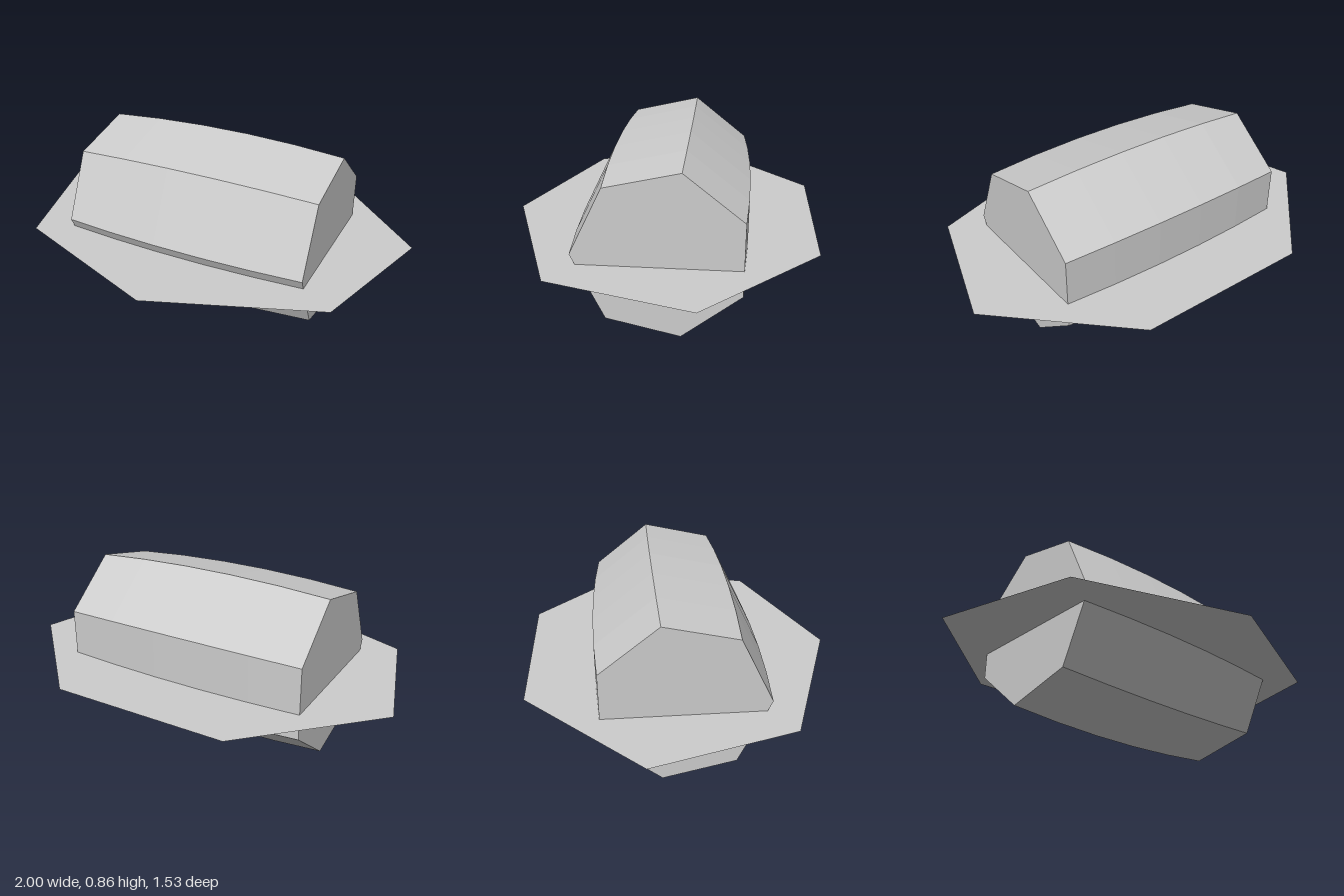
import * as THREE from 'three';

export function createModel() {
  const model = new THREE.Group();
  const grey = new THREE.MeshStandardMaterial({ color: 0xcccccc, flatShading: true, side: THREE.DoubleSide });
  grey.name = 'light grey';

  // Seven-sided barrel lying along x, bulging slightly towards its middle
  const length = 1.27;
  const barrelGeometry = new THREE.CylinderGeometry(1, 1, length, 7, 5);
  const p = barrelGeometry.attributes.position;
  for (let i = 0; i < p.count; i++) {
    const t = p.getY(i) / (length / 2);
    const radius = 0.442 - 0.028 * t * t;
    p.setXYZ(i, p.getX(i) * radius, p.getY(i), p.getZ(i) * radius);
  }
  barrelGeometry.rotateZ(-Math.PI / 2);
  const barrel = new THREE.Mesh(barrelGeometry, grey);
  barrel.name = 'barrel';
  barrel.position.set(0, 0.43, -0.04);
  model.add(barrel);

  // Flat seven-sided sheet cutting through the barrel
  const sheetGeometry = new THREE.CircleGeometry(1, 7, -Math.PI / 2);
  sheetGeometry.rotateX(-Math.PI / 2);
  sheetGeometry.scale(1.026, 1, 0.805);
  const sheet = new THREE.Mesh(sheetGeometry, grey);
  sheet.name = 'sheet';
  sheet.position.set(0, 0.38, -0.04);
  model.add(sheet);

  return model;
}
